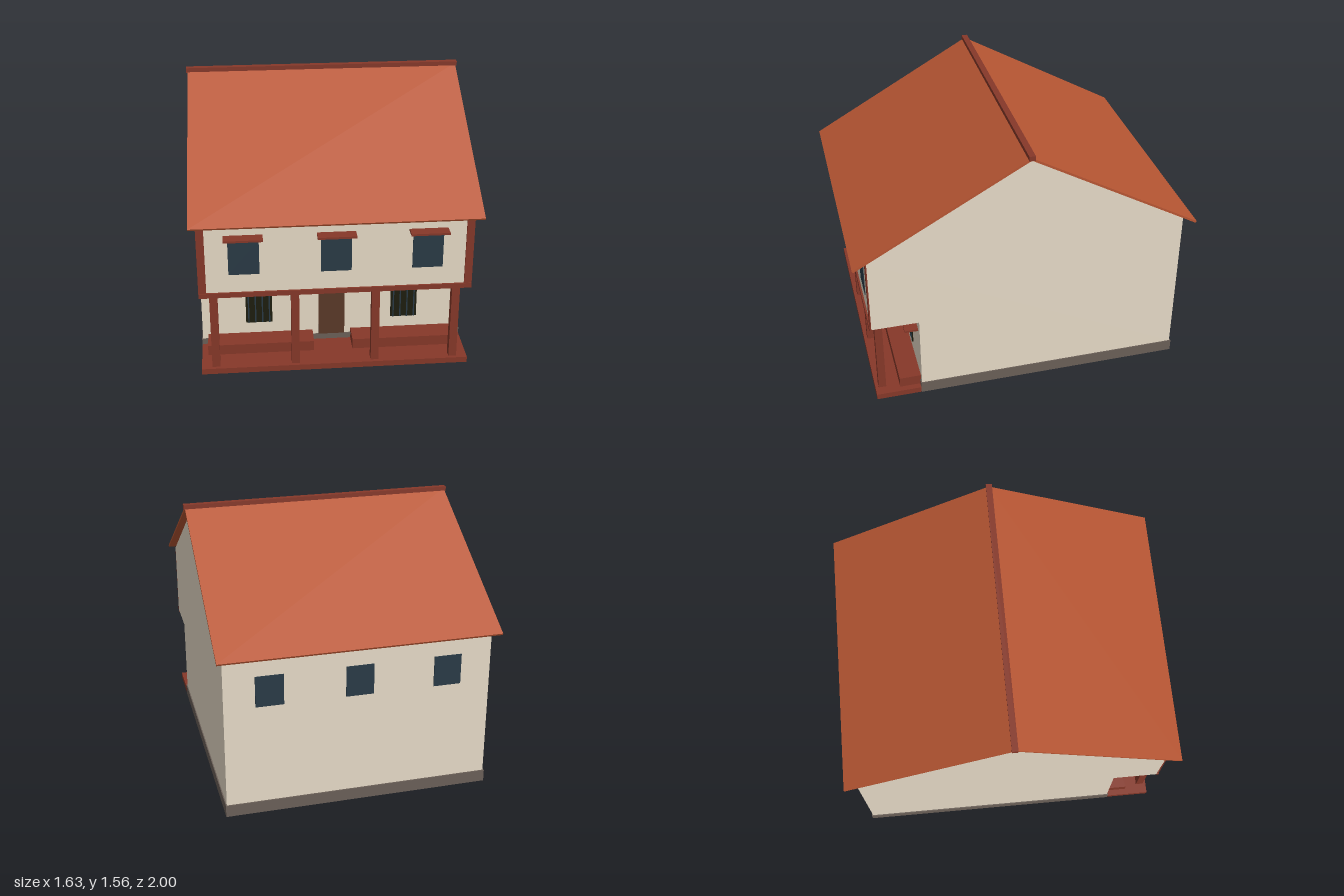
import * as THREE from 'three';

export function createModel() {
  const house = new THREE.Group();
  house.name = 'house';

  const mat = (name, color) => {
    const m = new THREE.MeshStandardMaterial({ color });
    m.name = name;
    return m;
  };
  const plaster = mat('cream plaster', 0xe8dcc8);
  const tile = mat('terracotta tile', 0xb85633);
  const wood = mat('red brown wood', 0x863829);
  const stone = mat('grey stone', 0x6b6058);
  const doorWood = mat('dark door wood', 0x5a3928);
  const glass = mat('blue grey glass', 0x293a46);
  const shade = mat('dark opening', 0x1d1d0e);

  const add = (name, geometry, material) => {
    const mesh = new THREE.Mesh(geometry, material);
    mesh.name = name;
    house.add(mesh);
    return mesh;
  };
  // Box given by its limits on each axis
  const box = (name, material, x0, x1, y0, y1, z0, z1) => {
    const g = new THREE.BoxGeometry(x1 - x0, y1 - y0, z1 - z0);
    g.translate((x0 + x1) / 2, (y0 + y1) / 2, (z0 + z1) / 2);
    return add(name, g, material);
  };
  // Side profile of [z, y] points, swept across the width of the house
  const sweep = (name, material, halfWidth, points) => {
    const shape = new THREE.Shape(points.map(([z, y]) => new THREE.Vector2(z, y)));
    const g = new THREE.ExtrudeGeometry(shape, { depth: halfWidth * 2, bevelEnabled: false });
    g.rotateY(-Math.PI / 2);
    g.translate(halfWidth, 0, 0);
    return add(name, g, material);
  };

  // Walls with the upper floor reaching out over the porch
  sweep('walls', plaster, 0.77, [
    [-0.93, 0.068], [0.642, 0.068], [0.642, 0.526], [0.917, 0.526],
    [0.917, 0.985], [0, 1.52], [-0.93, 0.985],
  ]);

  // Hollow plinth: a slab on four thin skirts, open underneath
  box('plinthSlab', stone, -0.776, 0.776, 0.063, 0.07, -0.938, 0.648);
  box('plinthFront', stone, -0.776, 0.776, 0, 0.066, 0.64, 0.648);
  box('plinthBack', stone, -0.776, 0.776, 0, 0.066, -0.938, -0.93);
  for (const s of [-1, 1]) {
    box('plinthSide', stone, s * 0.772 - 0.004, s * 0.772 + 0.004, 0, 0.066, -0.936, 0.646);
  }

  // Roof
  sweep('roof', tile, 0.807, [
    [-0.994, 0.968], [0, 1.528], [0.994, 0.968], [1, 0.979], [0, 1.543], [-1, 0.979],
  ]);
  box('ridgeBeam', wood, -0.815, 0.815, 1.53, 1.558, -0.018, 0.018);

  // Porch floor, benches and posts; floor and benches run through the plinth front
  box('porchFloor', wood, -0.774, 0.774, 0, 0.035, 0.63, 0.915);
  for (const s of [-1, 1]) {
    const x = s * 0.426;
    box('bench', wood, x - 0.312, x + 0.312, 0.035, 0.098, 0.63, 0.77);
  }
  for (const x of [-0.69, -0.23, 0.23, 0.69]) {
    box('porchPost', wood, x - 0.023, x + 0.023, 0.035, 0.526, 0.85, 0.895);
  }

  // Door and the thin canopy along the ground floor
  box('door', doorWood, -0.077, 0.077, 0.07, 0.396, 0.64, 0.648);
  box('doorLintel', wood, -0.094, 0.094, 0.395, 0.417, 0.64, 0.657);
  box('porchCanopy', wood, -0.722, 0.722, 0.426, 0.438, 0.64, 0.722);

  // Barred ground floor windows
  for (const x of [-0.432, 0.432]) {
    box('lowerWindow', shade, x - 0.078, x + 0.078, 0.17, 0.357, 0.64, 0.648);
    for (let i = 0; i < 4; i++) {
      const bx = x + (i - 1.5) * 0.041;
      box('windowBar', glass, bx - 0.004, bx + 0.004, 0.17, 0.357, 0.646, 0.651);
    }
  }

  // Timber frame of the upper front
  for (const s of [-1, 1]) {
    const x = s * 0.748;
    box('cornerBoard', wood, x - 0.022, x + 0.022, 0.53, 0.985, 0.913, 0.924);
  }
  box('frontBeam', wood, -0.77, 0.77, 0.51, 0.539, 0.913, 0.928);

  // Upper windows, front ones with small canopies
  for (const x of [-0.513, 0, 0.513]) {
    box('frontWindow', glass, x - 0.086, x + 0.086, 0.65, 0.857, 0.913, 0.921);
    box('windowCanopy', wood, x - 0.108, x + 0.108, 0.88, 0.892, 0.913, 0.985);
    box('backWindow', glass, x - 0.08, x + 0.08, 0.668, 0.85, -0.936, -0.928);
  }

  return house;
}
